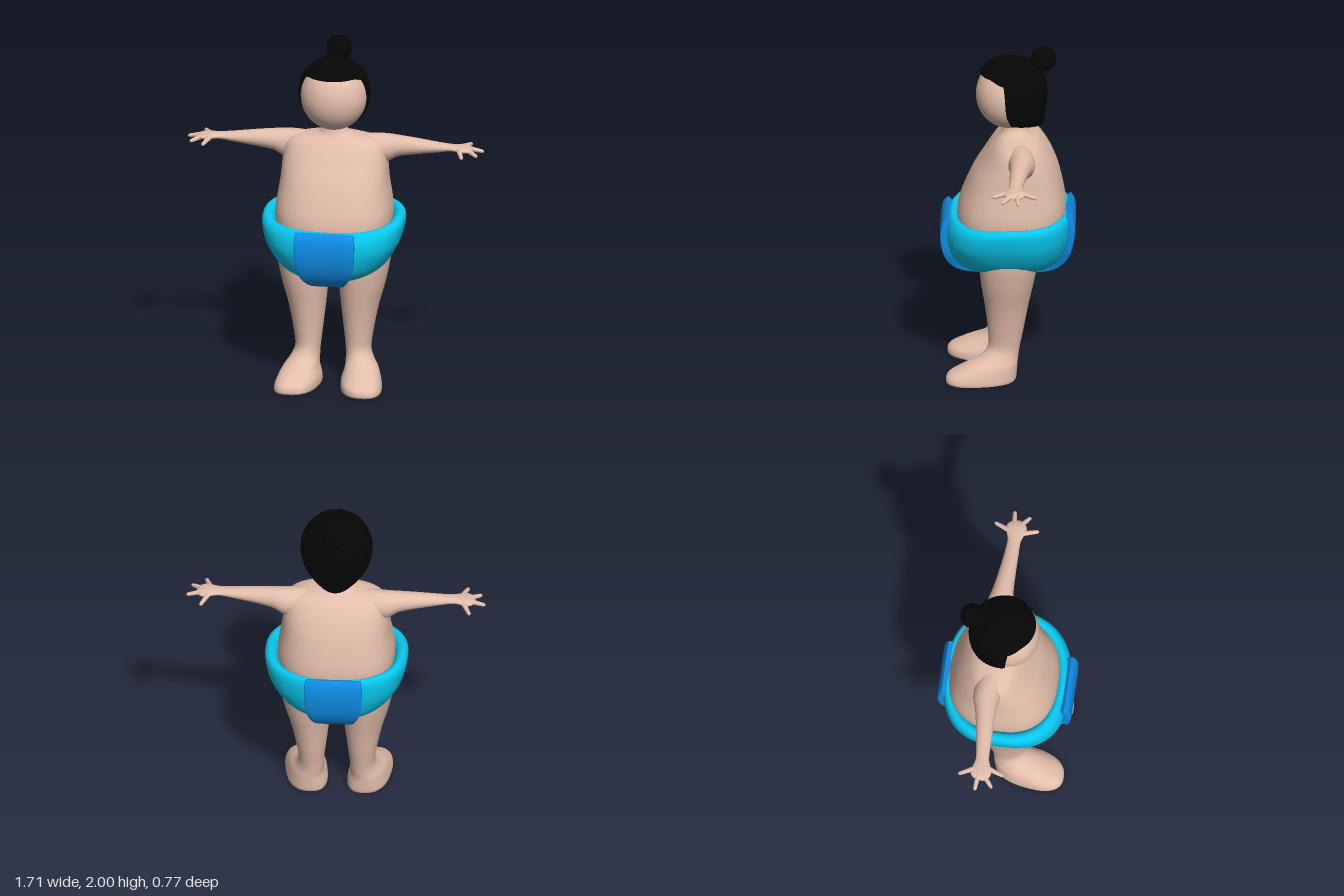
import * as THREE from 'three';

const skin = new THREE.MeshStandardMaterial({ color: 0xe2bdaa });
const cyan = new THREE.MeshStandardMaterial({ color: 0x08c8ee });
const blue = new THREE.MeshStandardMaterial({ color: 0x0f8de6 });
const black = new THREE.MeshStandardMaterial({ color: 0x060606, side: THREE.DoubleSide });

const spow = (v, p) => Math.sign(v) * Math.abs(v) ** p;

// Catmull-Rom subdivision of rows of numbers
function smooth(rows, k = 5) {
  const out = [], last = rows.length - 1;
  for (let i = 0; i < last; i++) {
    const [a, b, c, d] = [rows[Math.max(i - 1, 0)], rows[i], rows[i + 1], rows[Math.min(i + 2, last)]];
    for (let s = 0; s < k; s++) {
      const t = s / k;
      out.push(b.map((_, n) => b[n] + 0.5 * t * (c[n] - a[n]
        + t * (2 * a[n] - 5 * b[n] + 4 * c[n] - d[n] + t * (3 * (b[n] - c[n]) + d[n] - a[n])))));
    }
  }
  out.push(rows[last]);
  return out;
}

// Skin over closed loops of points, with capped ends; side -1 mirrors in x
function loft(rings, side = 1) {
  const n = rings[0].length, pos = [], idx = [];
  const tri = (a, b, c) => (side > 0 ? idx.push(a, b, c) : idx.push(a, c, b));
  const add = (p) => pos.push(p[0] * side, p[1], p[2]);
  rings.forEach((r) => r.forEach(add));
  for (let i = 0; i < rings.length - 1; i++) {
    for (let j = 0; j < n; j++) {
      const a = i * n + j, b = i * n + (j + 1) % n;
      tri(a, a + n, b);
      tri(b, a + n, b + n);
    }
  }
  [[rings[0], true], [rings[rings.length - 1], false]].forEach(([r, first]) => {
    const base = pos.length / 3;
    r.forEach(add);
    add([0, 1, 2].map((k) => r.reduce((s, p) => s + p[k], 0) / n));
    for (let j = 0; j < n; j++) {
      const a = base + j, b = base + (j + 1) % n;
      if (first) tri(a, b, base + n); else tri(b, a, base + n);
    }
  });
  const g = new THREE.BufferGeometry();
  g.setAttribute('position', new THREE.Float32BufferAttribute(pos, 3));
  g.setIndex(idx);
  g.computeVertexNormals();
  return g;
}

const angles = (n) => Array.from({ length: n }, (_, j) => (j / n) * Math.PI * 2);

// Horizontal sections: [y, centreX, halfWidth, zFront, zBack, exponent, skew]
function stack(rows, side = 1, shift = () => 0) {
  return loft(smooth(rows).map(([y, cx, hx, zf, zb, e, skew]) => angles(64).map((a) => {
    const c = spow(Math.cos(a), 2 / e), s = spow(Math.sin(a), 2 / e);
    return [cx + hx * c + skew * s, y + shift(y, s), (zf + zb) / 2 + (zf - zb) / 2 * s];
  })), side);
}

// Capsule along y, thinner towards its upper end
function fingerGeometry(length) {
  const g = new THREE.CapsuleGeometry(0.016, length, 6, 14, 6), p = g.attributes.position;
  for (let i = 0; i < p.count; i++) {
    const k = 1.05 - 0.35 * THREE.MathUtils.clamp(p.getY(i) / length + 0.5, 0, 1);
    p.setXYZ(i, p.getX(i) * k, p.getY(i), p.getZ(i) * k);
  }
  g.computeVertexNormals();
  return g;
}

export function createModel() {
  const model = new THREE.Group();
  const add = (name, geometry, material, parent = model) => {
    const m = new THREE.Mesh(geometry, material);
    m.name = name;
    parent.add(m);
    return m;
  };

  // Torso and neck
  add('torso', stack([
    [0.8, 0, 0.3, 0.27, -0.28, 2.4, 0], [1.0, 0, 0.335, 0.29, -0.33, 2.5, 0],
    [1.2, 0, 0.31, 0.22, -0.3, 2.5, 0], [1.32, 0, 0.3, 0.15, -0.26, 2.4, 0],
    [1.4, 0, 0.285, 0.1, -0.215, 2.3, 0], [1.44, 0, 0.25, 0.07, -0.18, 2.2, 0],
    [1.463, 0, 0.17, 0.05, -0.145, 2, 0], [1.475, 0, 0.105, 0.042, -0.125, 2, 0],
    [1.495, 0, 0.077, 0.033, -0.11, 2, 0], [1.53, 0, 0.066, 0.025, -0.1, 2, 0], [1.6, 0, 0.07, 0.03, -0.1, 2, 0],
  ]), skin);

  // Belt: a bowl with a rolled rim, a little lower at the front
  add('belt', stack([
    [0.63, 0, 0.04, 0.08, -0.07, 2, 0], [0.65, 0, 0.15, 0.215, -0.2, 2.2, 0],
    [0.69, 0, 0.25, 0.293, -0.275, 2.4, 0], [0.75, 0, 0.322, 0.335, -0.32, 2.5, 0],
    [0.85, 0, 0.38, 0.358, -0.35, 2.6, 0], [0.94, 0, 0.405, 0.356, -0.362, 2.5, 0],
    [0.99, 0, 0.406, 0.34, -0.36, 2.4, 0], [1.012, 0, 0.385, 0.318, -0.345, 2.4, 0],
    [1.005, 0, 0.355, 0.295, -0.325, 2.4, 0], [0.97, 0, 0.33, 0.27, -0.3, 2.4, 0],
  ], 1, (y, s) => (y > 0.8 ? -(y - 0.8) * 0.13 * Math.max(s, 0) : 0)), cyan);

  // Apron: one thick strip from front to back, [z, y, halfWidth]
  const strip = smooth([
    [0.335, 0.98, 0.168], [0.36, 0.95, 0.173], [0.37, 0.87, 0.174], [0.352, 0.77, 0.165], [0.305, 0.69, 0.125],
    [0.215, 0.645, 0.085], [0, 0.63, 0.07], [-0.2, 0.645, 0.085], [-0.29, 0.69, 0.115],
    [-0.345, 0.78, 0.15], [-0.367, 0.9, 0.165], [-0.362, 0.98, 0.164], [-0.345, 1.018, 0.158],
  ]);
  add('apron', loft(strip.map(([z, y, w], i) => {
    const p = strip[Math.max(i - 1, 0)], q = strip[Math.min(i + 1, strip.length - 1)];
    const dz = q[0] - p[0], dy = q[1] - p[1], l = Math.hypot(dz, dy);
    return angles(32).map((a) => {
      const t = (Math.sin(a) < 0 ? 0.03 : 0.018) * spow(Math.sin(a), 0.35);
      return [-w * spow(Math.cos(a), 0.2), y + t * dz / l, z - t * dy / l];
    });
  })), blue);

  for (const side of [1, -1]) {
    const label = side > 0 ? 'left' : 'right';

    // Leg with foot
    add(label + 'Leg', stack([
      [0, 0.182, 0.118, 0.345, -0.045, 2.5, 0.028], [0.015, 0.182, 0.12, 0.352, -0.05, 2.5, 0.028],
      [0.05, 0.18, 0.115, 0.335, -0.053, 2.4, 0.025], [0.1, 0.175, 0.098, 0.245, -0.057, 2.2, 0.018],
      [0.145, 0.158, 0.082, 0.155, -0.062, 2, 0.01], [0.2, 0.146, 0.073, 0.113, -0.07, 2, 0],
      [0.3, 0.146, 0.084, 0.113, -0.09, 2, 0], [0.45, 0.152, 0.107, 0.13, -0.117, 2, 0],
      [0.6, 0.165, 0.134, 0.152, -0.148, 2.1, 0], [0.75, 0.175, 0.152, 0.165, -0.175, 2.2, 0],
      [0.85, 0.175, 0.15, 0.16, -0.17, 2.2, 0],
    ], side), skin);

    // Arm and palm: [x, y, z, halfHeight, halfDepth]
    const arm = smooth([
      [0.1, 1.4, -0.06, 0.055, 0.06], [0.2, 1.383, -0.075, 0.081, 0.078], [0.29, 1.381, -0.083, 0.082, 0.076],
      [0.36, 1.397, -0.078, 0.062, 0.062], [0.45, 1.403, -0.07, 0.049, 0.052],
      [0.58, 1.407, -0.06, 0.031, 0.042], [0.66, 1.41, -0.055, 0.02, 0.038],
      [0.7, 1.41, -0.052, 0.018, 0.047], [0.74, 1.408, -0.052, 0.018, 0.06],
      [0.775, 1.405, -0.052, 0.015, 0.05], [0.795, 1.403, -0.05, 0.007, 0.02],
    ]);
    add(label + 'Arm', loft(arm.map(([x, y, z, h, d]) =>
      angles(32).map((a) => [x, y + h * Math.cos(a), z - d * Math.sin(a)])), side), skin);

    // Spread fingers: base x, z to tip x, y, z
    const hand = new THREE.Group();
    hand.name = label + 'Fingers';
    model.add(hand);
    [[0.72, -0.07, 0.764, 1.397, -0.166], [0.75, -0.065, 0.84, 1.392, -0.073],
      [0.75, -0.045, 0.818, 1.392, 0.012], [0.715, -0.03, 0.745, 1.394, 0.064],
    ].forEach(([x0, z0, x1, y1, z1]) => {
      const a = new THREE.Vector3(x0 * side, 1.41, z0), b = new THREE.Vector3(x1 * side, y1, z1);
      const finger = add('finger', fingerGeometry(a.distanceTo(b)), skin, hand);
      finger.position.copy(a).lerp(b, 0.5);
      finger.quaternion.setFromUnitVectors(new THREE.Vector3(0, 1, 0), b.clone().sub(a).normalize());
    });
  }

  // Head
  const head = add('head', new THREE.SphereGeometry(1, 48, 32), skin);
  head.scale.set(0.19, 0.2, 0.185);
  head.position.set(0, 1.71, 0);

  // Hair: sections [y, halfWidth, zFront, zBack] from nape to crown, cut off at a fringe line
  const section = smooth([
    [1.525, 0.095, 0.1, -0.2], [1.57, 0.15, 0.14, -0.21], [1.63, 0.188, 0.17, -0.217], [1.71, 0.206, 0.19, -0.223],
    [1.79, 0.198, 0.185, -0.217], [1.85, 0.167, 0.16, -0.19], [1.89, 0.122, 0.122, -0.15],
    [1.915, 0.08, 0.075, -0.11], [1.93, 0.005, -0.02, -0.03],
  ], 8);
  const sectionAt = (y) => {
    let i = section.findIndex((r) => r[0] >= y);
    i = i < 0 ? section.length - 1 : Math.max(i, 1);
    const a = section[i - 1], b = section[i], t = THREE.MathUtils.clamp((y - a[0]) / (b[0] - a[0]), 0, 1);
    return a.map((v, k) => v + (b[k] - v) * t);
  };
  const edge = (s) => 1.555 - 0.025 * Math.max(-s, 0)
    + 0.27 * THREE.MathUtils.smoothstep(s, 0.11, 0.19) + 0.022 * THREE.MathUtils.smoothstep(s, 0.19, 0.7);
  const hair = [];
  for (let i = -1; i <= 28; i++) {
    const v = Math.max(i, 0) / 28, tuck = i < 0 ? 0.9 : 1;
    hair.push(angles(180).map((a) => {
      const s = Math.sin(a), low = edge(s);
      const [y, w, f, b] = sectionAt(low + (1.93 - low) * (1 - (1 - v) ** 1.7));
      return [w * tuck * Math.cos(a), y, (f + b) / 2 + (f - b) / 2 * tuck * s];
    }));
  }
  // The lower cap is hidden inside the head
  add('hair', loft(hair), black);
  add('topKnot', new THREE.SphereGeometry(0.073, 32, 24), black).position.set(0, 1.927, -0.2);

  return model;
}
